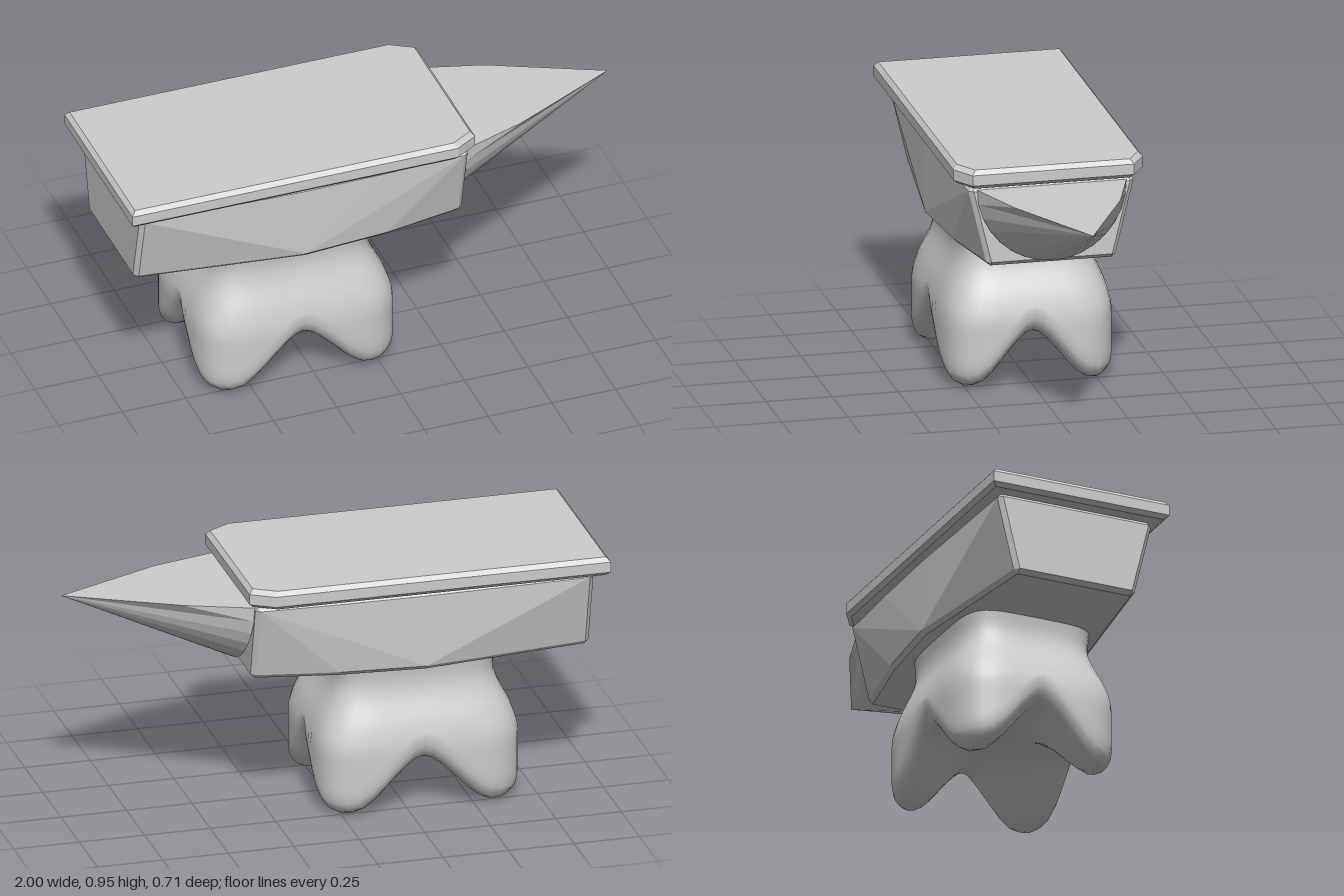
import * as THREE from 'three';
import { ConvexGeometry } from 'three/addons/geometries/ConvexGeometry.js';

const V = (x, y, z) => new THREE.Vector3(x, y, z);
const CX = -0.305; // centre line of body and foot

// Piecewise-smooth lookup through [input, output] pairs
function sample(table, t) {
  if (t <= table[0][0]) return table[0][1];
  for (let i = 1; i < table.length; i++) {
    const [a, va] = table[i - 1], [b, vb] = table[i];
    if (t <= b) return va + (vb - va) * (t - a) / (b - a);
  }
  return table[table.length - 1][1];
}

// Bevelled top plate with the two corners towards the horn cut off
function plateGeometry() {
  const outline = [[-1, 0.357], [0.28, 0.357], [0.365, 0.305]];
  const mid = -0.3175, pts = [];
  for (const [y, inset] of [[0.885, 0.015], [0.9, 0], [0.94, 0], [0.957, 0.015]])
    for (const [x, z] of outline)
      for (const s of [1, -1])
        pts.push(V(mid + (x - mid) * (1 - inset / 0.68), y, s * z * (1 - inset / 0.357)));
  return new ConvexGeometry(pts);
}

// Body: upright at the middle, narrowing downwards at both ends
function bodyGeometry() {
  const pts = [], b = 0.016;
  const add = (x, y, z) => { for (const s of [1, -1]) pts.push(V(x, y, s * z)); };
  const station = (x, zTop, zBottom) => {
    add(x, 0.885, zTop - b); add(x, 0.885 - b, zTop);
    add(x, 0.575 + b, zBottom); add(x, 0.575, zBottom - b);
  };
  station(CX, 0.326, 0.326);
  station(0.02, 0.322, 0.3);
  for (const e of [1, -1]) {
    station(CX + e * 0.628, 0.312, 0.245);
    add(CX + e * 0.645, 0.885 - b, 0.295);
    add(CX + e * 0.645, 0.575 + b, 0.228);
  }
  return new ConvexGeometry(pts);
}

// Half cone with a flat top that swells a little at mid length
function hornGeometry() {
  const n = 16, arc = [], tris = [];
  for (let i = 0; i <= n; i++) {
    const a = Math.PI * i / n;
    arc.push(V(0.335 + 0.027 * Math.sin(a), 0.874 - 0.284 * Math.sin(a), 0.283 * Math.cos(a)));
  }
  const tip = V(1, 0.885, 0), left = V(0.59, 0.88, 0.2), right = V(0.59, 0.88, -0.2);
  for (let i = 0; i < n; i++) {
    const p = arc[i], q = arc[i + 1];
    if (i === 0) tris.push(left, p, q, tip, left, q);
    else if (i === n - 1) tris.push(p, q, right, tip, p, right);
    else tris.push(tip, p, q);
    tris.push(arc[0], q, p);
  }
  tris.push(arc[0], left, arc[n], left, right, arc[n], left, tip, right);
  const g = new THREE.BufferGeometry().setFromPoints(tris);
  g.computeVertexNormals();
  return g;
}

// Foot: rounded-square rings flowing into four legs, arched between them
function footGeometry() {
  const N = 64, HX = 0.39, HZ = 0.326, TOP = 0.585;
  const width = [[0.1, 1], [0.27, 1], [0.31, 0.975], [0.36, 0.93], [0.41, 0.865],
    [0.45, 0.815], [0.49, 0.785], [0.53, 0.78], [0.585, 0.8]];
  const archTable = [[0, 0.21], [0.07, 0.205], [0.15, 0.185], [0.31, 0.125],
    [0.46, 0.062], [0.6, 0.018], [0.74, 0]];
  const underside = (x, z, r) => {
    const a = sample(archTable, Math.abs(x)) / 0.21, b = sample(archTable, Math.abs(z)) / 0.21;
    const k = Math.min(1, Math.max(0, (r - 0.8) / 0.2));
    return 0.21 * (1 - (1 - a) * (1 - b)) + 0.095 * (1 - Math.sqrt(1 - k * k));
  };
  const inner = [1, 0.99, 0.975, 0.95, 0.92, 0.88, 0.84, 0.78, 0.7, 0.6, 0.5, 0.4, 0.3, 0.2, 0.1, 0];
  const wallRows = 16, pos = [], index = [];
  const rows = wallRows + inner.length;
  for (let j = 0; j < rows; j++)
    for (let i = 0; i < N; i++) {
      const t = 2 * Math.PI * i / N, c = Math.cos(t), s = Math.sin(t);
      const k = Math.pow(Math.abs(c) ** 5 + Math.abs(s) ** 5, -0.2);
      const ux = c * k, uz = s * k;
      const edge = underside(ux, uz, 1);
      const r = j < wallRows ? 1 : inner[j - wallRows];
      const y = j < wallRows ? TOP + (edge - TOP) * j / wallRows : underside(ux * r, uz * r, r);
      const w = r * sample(width, j < wallRows ? y : edge);
      pos.push(CX + HX * ux * w, y, HZ * uz * w);
    }
  for (let j = 0; j < rows - 1; j++)
    for (let i = 0; i < N; i++) {
      const a = j * N + i, b = j * N + (i + 1) % N;
      index.push(a, b, a + N, b, b + N, a + N);
    }
  const g = new THREE.BufferGeometry();
  g.setAttribute('position', new THREE.Float32BufferAttribute(pos, 3));
  g.setIndex(index);
  g.computeVertexNormals();
  return g;
}

export function createModel() {
  const group = new THREE.Group();
  group.name = 'anvil';
  const steel = new THREE.MeshStandardMaterial({ color: 0xcccccc });
  steel.name = 'grey steel';
  const parts = {
    topPlate: plateGeometry(), body: bodyGeometry(), horn: hornGeometry(), foot: footGeometry(),
  };
  for (const [name, geometry] of Object.entries(parts)) {
    const mesh = new THREE.Mesh(geometry, steel);
    mesh.name = name;
    group.add(mesh);
  }
  return group;
}
